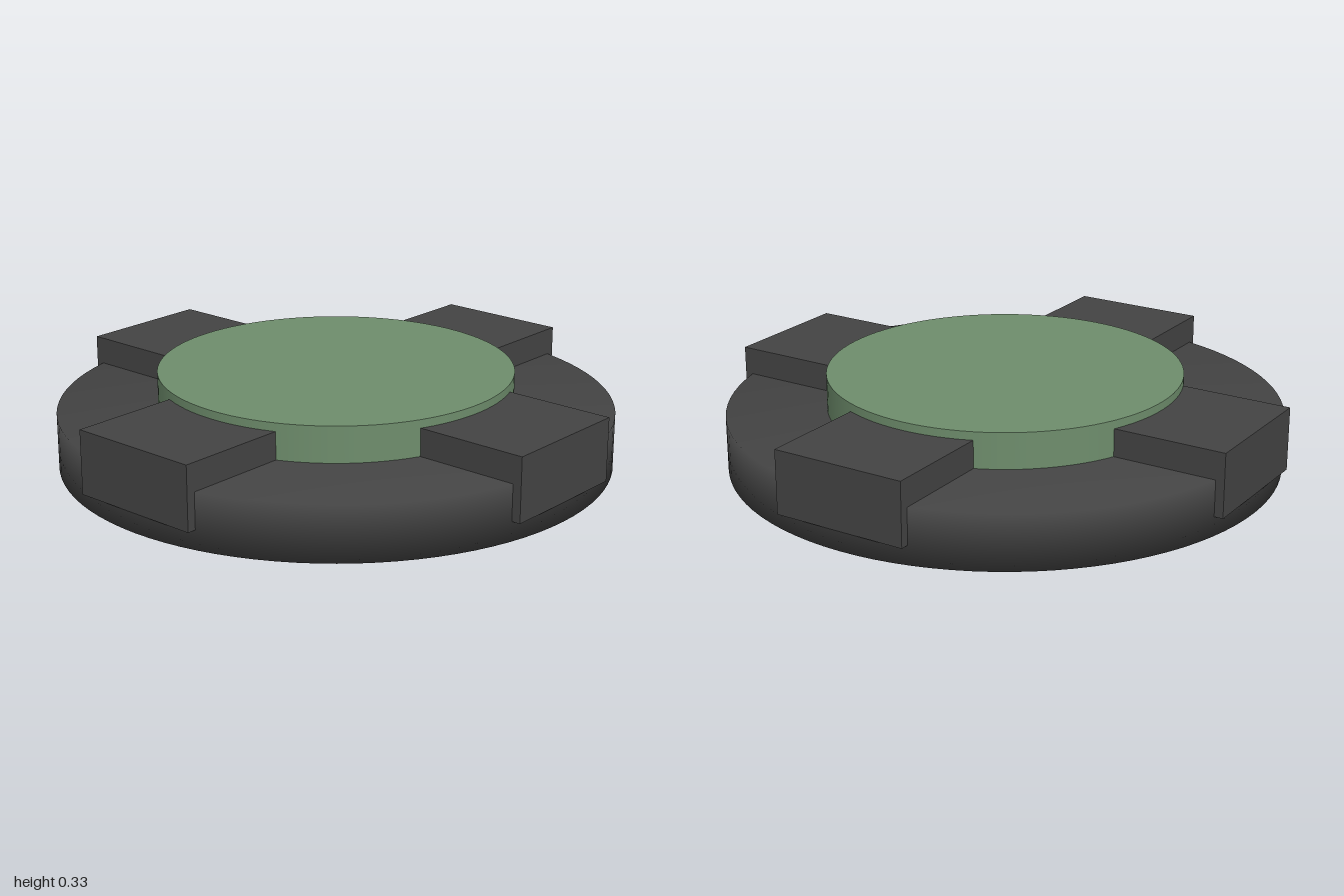
import * as THREE from 'three';
import { mergeVertices } from 'three/addons/utils/BufferGeometryUtils.js';

const charcoal = new THREE.MeshStandardMaterial({ name: 'charcoal', color: 0x434343 });
const sageGreen = new THREE.MeshStandardMaterial({ name: 'sage green', color: 0x6e8d6c });

function part(parent, name, geometry, material, x, y, z) {
  const mesh = new THREE.Mesh(geometry, material);
  mesh.name = name;
  mesh.position.set(x, y, z);
  parent.add(mesh);
  return mesh;
}

// Disc whose normals are shared by caps and side, for a soft rolled rim
function softDisc(radius, height) {
  const disc = new THREE.CylinderGeometry(radius, radius, height, 96);
  disc.deleteAttribute('normal');
  disc.deleteAttribute('uv');
  const merged = mergeVertices(disc);
  merged.computeVertexNormals();
  return merged;
}

export function createModel() {
  const model = new THREE.Group();
  model.name = 'roundPad';

  // Wide base disc
  part(model, 'baseDisc', softDisc(1, 0.2), charcoal, 0, 0.1, 0);

  // Raised centre plate
  part(model, 'centrePlate', new THREE.CylinderGeometry(0.64, 0.64, 0.23, 96), sageGreen, 0, 0.215, 0);

  // Four clamps around the rim
  const clampShape = new THREE.BoxGeometry(0.5, 0.23, 0.5);
  for (let i = 0; i < 4; i++) {
    const clamp = new THREE.Group();
    clamp.name = 'clamp' + (i + 1);
    clamp.rotation.y = (i * Math.PI) / 2;
    part(clamp, 'clampBlock', clampShape, charcoal, 0, 0.185, 0.75);
    model.add(clamp);
  }
  return model;
}
